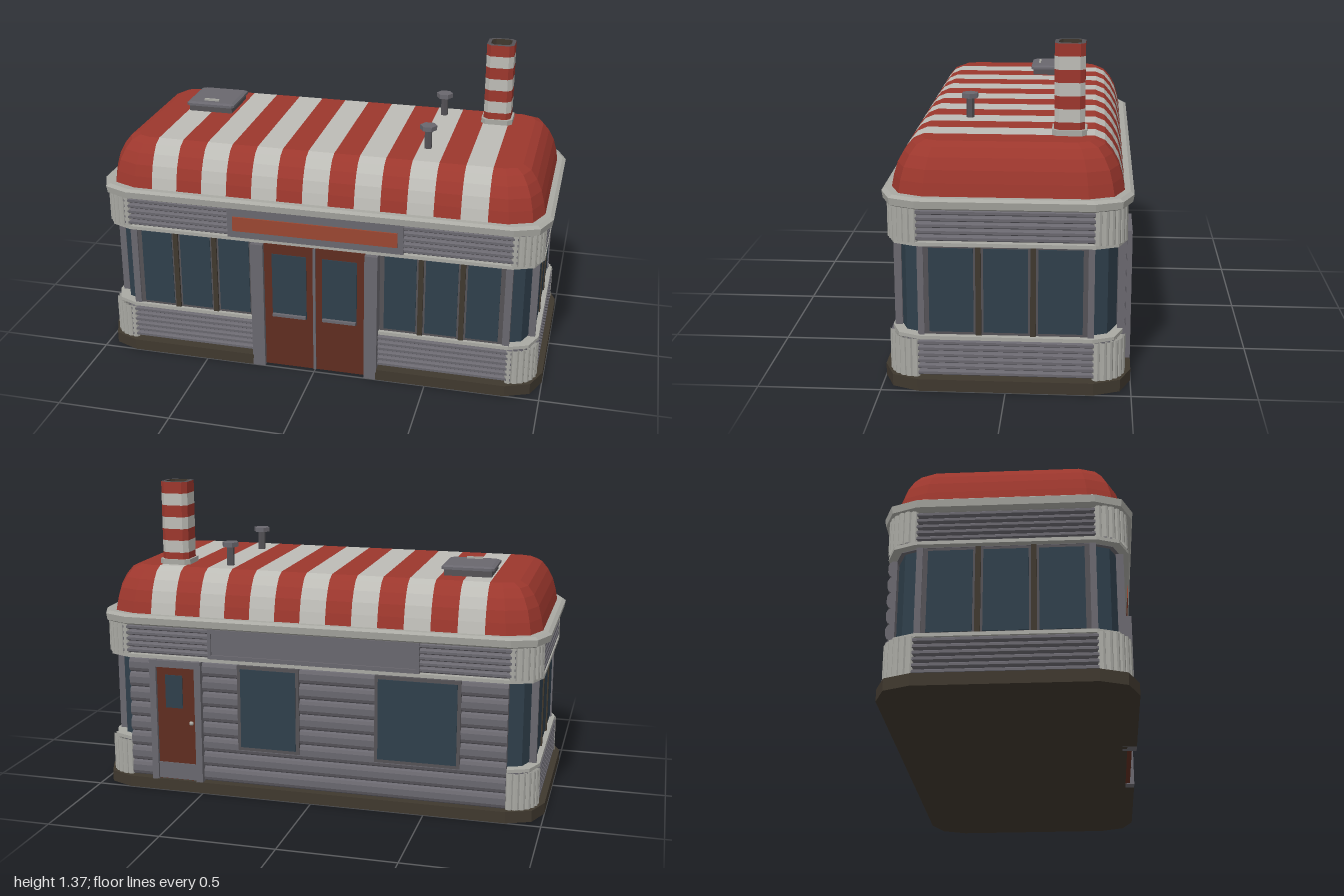
import * as THREE from 'three';

const mat = (name, color) => {
  const m = new THREE.MeshStandardMaterial({ color });
  m.name = name;
  m.flatShading = true;
  return m;
};

export function createModel() {
  const M = {
    red: mat('red', 0x9c372d),
    cream: mat('cream', 0xbdbcb6),
    grey: mat('grey', 0x69676e),
    darkGrey: mat('dark grey', 0x545256),
    trim: mat('light trim', 0xa9a9a3),
    brown: mat('dark brown', 0x3f382e),
    door: mat('door brown', 0x5f2d20),
    glass: mat('glass', 0x2f3f4b),
    sign: mat('sign orange', 0x9a4731),
  };
  const model = new THREE.Group();
  model.name = 'diner';

  const add = (parent, name, geo, material, x = 0, y = 0, z = 0) => {
    const m = new THREE.Mesh(geo, material);
    m.name = name;
    m.position.set(x, y, z);
    parent.add(m);
    return m;
  };
  const box = (parent, name, material, w, h, d, x, y, z) =>
    add(parent, name, new THREE.BoxGeometry(w, h, d), material, x, y, z);

  // Stacked rounded rectangles [y, halfX, halfZ, cornerRadius], optionally cut to x0..x1
  function loft(rings, { x0 = -9, x1 = 9, bottom = true, top = true, seg = 2 } = {}) {
    const pos = [], idx = [], n = 4 * (seg + 1);
    for (const [y, hx, hz, r] of rings) {
      for (let q = 0; q < 4; q++) {
        const sx = q === 0 || q === 3 ? 1 : -1, sz = q < 2 ? 1 : -1;
        for (let k = 0; k <= seg; k++) {
          const a = (q + k / seg) * Math.PI / 2;
          const x = sx * (hx - r) + r * Math.cos(a), z = sz * (hz - r) + r * Math.sin(a);
          pos.push(Math.min(x1, Math.max(x0, x)), y, z);
        }
      }
    }
    for (let j = 0; j < rings.length - 1; j++)
      for (let i = 0; i < n; i++) {
        const a = j * n + i, b = j * n + (i + 1) % n;
        idx.push(a, a + n, b, b, a + n, b + n);
      }
    const t = (rings.length - 1) * n;
    for (let i = 1; i < n - 1; i++) {
      if (bottom) idx.push(0, i, i + 1);
      if (top) idx.push(t, t + i + 1, t + i);
    }
    const g = new THREE.BufferGeometry();
    g.setAttribute('position', new THREE.Float32BufferAttribute(pos, 3));
    g.setIndex(idx);
    const flat = g.toNonIndexed();
    flat.computeVertexNormals();
    return flat;
  }
  const slab = (name, material, y0, y1, hx, hz, r, opt) =>
    add(model, name, loft([[y0, hx, hz, r], [y1, hx, hz, r]], opt), material);

  // Horizontal rounded ribs facing local +z
  function ribs(parent, name, material, cx, w, y0, y1, n, z, depth) {
    const s = new THREE.Shape(), h = (y1 - y0) / n;
    s.moveTo(-0.02, y0);
    for (let i = 0; i < n; i++)
      for (const [t, d] of [[0, 0], [0.1, 0.6], [0.3, 1], [0.7, 1], [0.9, 0.6]])
        s.lineTo(d * depth, y0 + (i + t) * h);
    s.lineTo(0, y1);
    s.lineTo(-0.02, y1);
    const g = new THREE.ExtrudeGeometry(s, { depth: w, bevelEnabled: false });
    g.translate(0, 0, -w / 2);
    g.rotateY(-Math.PI / 2);
    add(parent, name, g, material, cx, 0, z);
  }

  // Row of panes with dark mullions, facing local +z
  function windows(parent, cx, w, n, z) {
    box(parent, 'windowFrame', M.darkGrey, w, 0.38, 0.02, cx, 0.41, z - 0.004);
    const p = w / n;
    for (let i = 0; i < n; i++) {
      const x = cx - w / 2 + (i + 0.5) * p;
      box(parent, 'pane', M.glass, p - 0.04, 0.35, 0.008, x, 0.412, z + 0.006);
      if (i) box(parent, 'mullion', M.brown, 0.022, 0.38, 0.03, x - p / 2, 0.41, z);
    }
  }

  const face = (name, angle) => {
    const g = new THREE.Group();
    g.name = name;
    g.rotation.y = angle;
    model.add(g);
    return g;
  };

  // Base, notched for the entrance
  slab('baseLeft', M.brown, 0, 0.05, 1, 0.5, 0.15, { x0: 0.28 });
  slab('baseRight', M.brown, 0, 0.05, 1, 0.5, 0.15, { x1: -0.28 });
  box(model, 'baseMiddle', M.brown, 0.56, 0.05, 0.96, 0, 0.025, -0.02);

  // Wall core, glazing and ledges
  slab('lowerWall', M.grey, 0.05, 0.22, 0.95, 0.45, 0.12);
  slab('cornerGlass', M.glass, 0.22, 0.6, 0.94, 0.44, 0.13);
  slab('upperWall', M.grey, 0.6, 0.76, 0.95, 0.45, 0.12);
  slab('sillLedge', M.trim, 0.21, 0.225, 0.972, 0.465, 0.12);
  slab('lintelLedge', M.trim, 0.602, 0.617, 0.977, 0.477, 0.125);
  add(model, 'cornice', loft([[0.75, 0.975, 0.475, 0.13], [0.76, 0.995, 0.495, 0.145],
    [0.79, 1, 0.5, 0.15], [0.8, 0.985, 0.485, 0.145]]), M.trim);

  // Fluted corners
  const flute = (y0, y1) => {
    for (const sx of [-1, 1]) for (const sz of [-1, 1])
      for (let i = 0; i < 7; i++) {
        const a = i / 6 * Math.PI / 2;
        add(model, 'cornerFlute', new THREE.CylinderGeometry(0.017, 0.017, y1 - y0, 10, 1, true), M.trim,
          sx * (0.86 + 0.1 * Math.cos(a)), (y0 + y1) / 2, sz * (0.36 + 0.1 * Math.sin(a)));
      }
  };
  flute(0.05, 0.212);
  flute(0.615, 0.755);

  // Front wall with double doors
  const front = face('frontWall', 0);
  for (const s of [-1, 1]) {
    ribs(front, 'lowerRibs', M.grey, s * 0.575, 0.59, 0.055, 0.21, 6, 0.455, 0.02);
    ribs(front, 'upperRibs', M.grey, s * 0.63, 0.48, 0.62, 0.752, 5, 0.455, 0.02);
    windows(front, s * 0.555, 0.54, 3, 0.442);
    box(front, 'windowPost', M.grey, 0.03, 0.38, 0.03, s * 0.84, 0.41, 0.442);
    box(front, 'doorPillar', M.grey, 0.057, 0.602, 0.06, s * 0.255, 0.301, 0.47);
    box(front, 'door', M.door, 0.227, 0.6, 0.03, s * 0.1135, 0.304, 0.465);
    box(front, 'doorWindow', M.glass, 0.155, 0.305, 0.006, s * 0.113, 0.405, 0.481);
    box(front, 'doorHandle', M.grey, 0.15, 0.012, 0.018, s * 0.113, 0.263, 0.488);
  }
  box(front, 'doorSeam', M.grey, 0.012, 0.6, 0.008, 0, 0.304, 0.481);
  box(front, 'signBoard', M.grey, 0.78, 0.135, 0.04, 0, 0.685, 0.459);
  box(front, 'signPanel', M.sign, 0.73, 0.066, 0.008, 0, 0.683, 0.482);

  // End walls
  for (const [name, s] of [['leftWall', 1], ['rightWall', -1]]) {
    const end = face(name, s * Math.PI / 2);
    ribs(end, 'lowerRibs', M.grey, 0, 0.7, 0.055, 0.21, 6, 0.955, 0.02);
    ribs(end, 'upperRibs', M.grey, 0, 0.7, 0.62, 0.752, 5, 0.955, 0.02);
    windows(end, 0, 0.65, 3, 0.942);
    for (const t of [-1, 1]) box(end, 'windowPost', M.grey, 0.025, 0.38, 0.03, t * 0.337, 0.41, 0.942);
  }

  // Back wall: siding, two windows and a service door
  const back = face('backWall', Math.PI);
  ribs(back, 'siding', M.grey, 0, 1.69, 0.05, 0.602, 8, 0.462, 0.016);
  for (const s of [-1, 1]) ribs(back, 'upperRibs', M.grey, s * 0.67, 0.4, 0.62, 0.752, 5, 0.455, 0.02);
  box(back, 'upperPanel', M.grey, 0.94, 0.135, 0.04, 0, 0.685, 0.455);
  for (const y of [0.628, 0.742]) box(back, 'panelEdge', M.grey, 0.94, 0.018, 0.01, 0, y, 0.478);
  for (const s of [-1, 1]) box(back, 'panelEdge', M.grey, 0.015, 0.13, 0.01, s * 0.462, 0.685, 0.478);
  for (const [x, w] of [[-0.195, 0.28], [0.465, 0.37]]) {
    box(back, 'backWindowFrame', M.darkGrey, w, 0.385, 0.03, x, 0.407, 0.469);
    box(back, 'backWindowGlass', M.glass, w - 0.03, 0.355, 0.006, x, 0.407, 0.485);
  }
  for (const s of [-1, 1]) box(back, 'backDoorPost', M.grey, 0.03, 0.555, 0.05, -0.62 + s * 0.105, 0.325, 0.475);
  box(back, 'backDoorHead', M.grey, 0.18, 0.03, 0.05, -0.62, 0.587, 0.475);
  box(back, 'backDoor', M.door, 0.18, 0.53, 0.03, -0.62, 0.312, 0.47);
  box(back, 'backDoorWindow', M.glass, 0.08, 0.15, 0.006, -0.63, 0.46, 0.486);
  box(back, 'kickPlate', M.grey, 0.18, 0.075, 0.006, -0.62, 0.09, 0.486);
  add(back, 'doorKnob', new THREE.SphereGeometry(0.01, 8, 6), M.trim, -0.55, 0.32, 0.492);

  // Striped domed roof
  const dome = [[0.8, 0], [0.85, 0.01], [0.9, 0.025], [0.945, 0.05], [0.98, 0.08], [0.997, 0.12]]
    .map(([y, d]) => [y, 0.962 - d * 0.9, 0.462 - d, 0.14 - d * 0.6]);
  const step = 0.1135;
  add(model, 'roofEndLeft', loft(dome, { x0: 6.5 * step }), M.red);
  add(model, 'roofEndRight', loft(dome, { x1: -6.5 * step }), M.red);
  for (let i = -6; i <= 6; i++)
    add(model, 'roofStripe', loft(dome, { x0: (i - 0.5) * step, x1: (i + 0.5) * step }), i % 2 ? M.red : M.cream);

  // Striped chimney
  const chimney = new THREE.Group();
  chimney.name = 'chimney';
  chimney.position.set(0.685, 0, -0.24);
  model.add(chimney);
  add(chimney, 'chimneyFoot', loft([[0.99, 0.07, 0.07, 0.02], [1.02, 0.07, 0.07, 0.02]], { seg: 1 }), M.trim);
  const bands = [1.02, 1.05, 1.104, 1.156, 1.209, 1.261, 1.314, 1.365];
  for (let i = 0; i < 7; i++)
    add(chimney, 'chimneyBand', loft([[bands[i], 0.061, 0.061, 0.02], [bands[i + 1], 0.061, 0.061, 0.02]],
      { seg: 1, bottom: false, top: false }), i % 2 ? M.cream : M.red);
  add(chimney, 'chimneyRim', loft([[1.365, 0.061, 0.061, 0.02], [1.366, 0.045, 0.045, 0.015]],
    { seg: 1, bottom: false, top: false }), M.darkGrey);
  add(chimney, 'flue', loft([[1.366, 0.045, 0.045, 0.015], [1.15, 0.045, 0.045, 0.015]],
    { seg: 1, bottom: false }), M.brown);

  // Roof vents
  for (const z of [0.185, -0.255]) {
    add(model, 'ventPipe', new THREE.CylinderGeometry(0.017, 0.017, 0.1, 6), M.darkGrey, 0.435, 1.04, z);
    add(model, 'ventCap', new THREE.CylinderGeometry(0.037, 0.037, 0.02, 6), M.grey, 0.435, 1.092, z).rotation.y = Math.PI / 6;
  }

  // Roof hatch
  box(model, 'hatchCurb', M.darkGrey, 0.205, 0.035, 0.215, -0.628, 1.01, -0.14);
  add(model, 'hatchLid', loft([[1.025, 0.114, 0.118, 0.012], [1.036, 0.114, 0.118, 0.012], [1.042, 0.1, 0.104, 0.01]],
    { seg: 1 }), M.grey, -0.628, 0, -0.14);
  box(model, 'hatchHandle', M.trim, 0.07, 0.01, 0.01, -0.63, 1.046, -0.062);

  return model;
}
